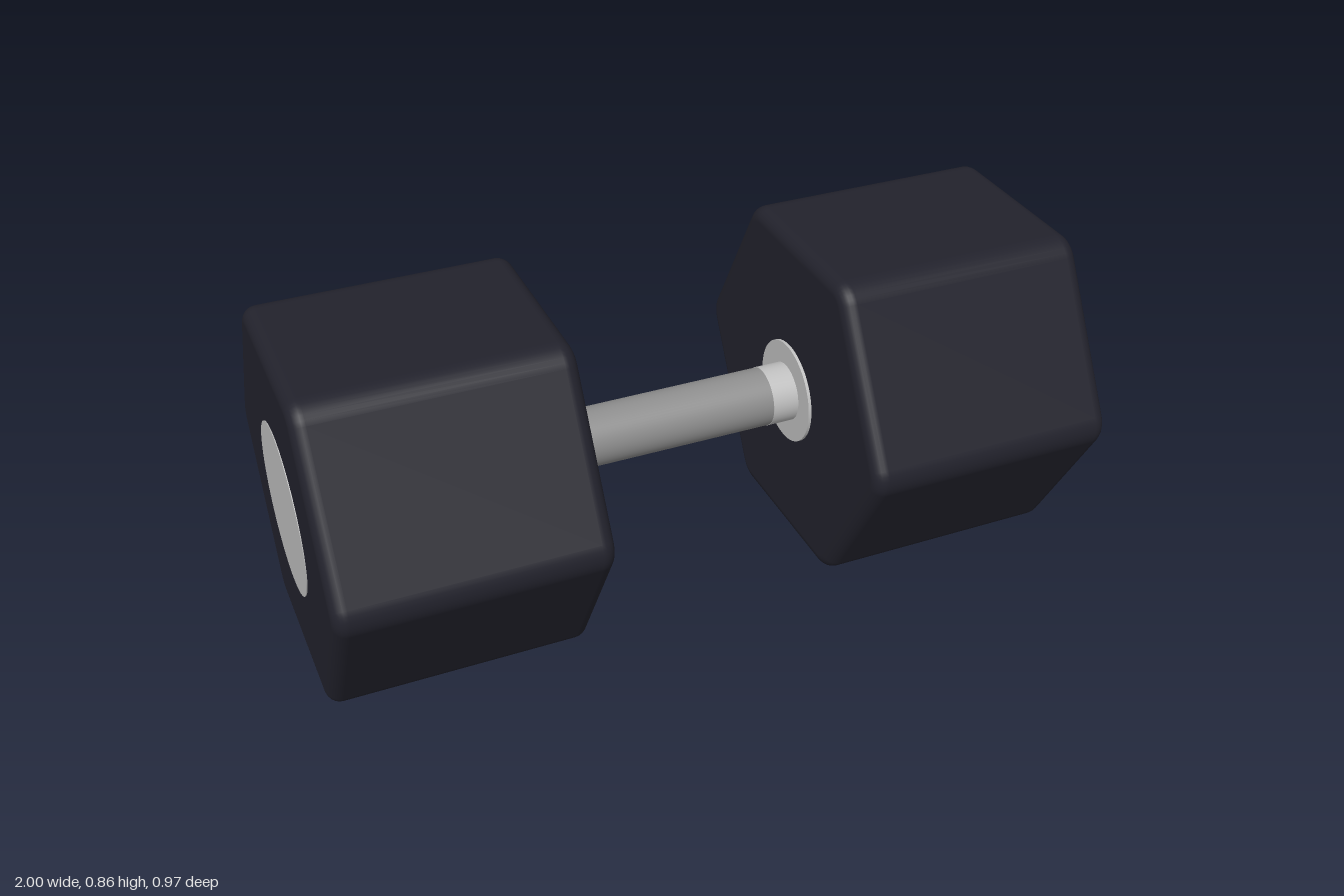
import * as THREE from 'three';

const CENTRE_Y = 0.43;
const APOTHEM = 0.43;
const CORNER_RADIUS = 0.075;
const BEVEL = 0.036;

// Rounded hexagon outline: each point has a position and an outward normal
function hexOutline(steps = 6) {
  const points = [];
  const reach = (APOTHEM - CORNER_RADIUS) / Math.cos(Math.PI / 6);
  for (let i = 0; i < 6; i++) {
    const corner = (i * Math.PI) / 3;
    for (let j = 0; j <= steps; j++) {
      const a = corner + (j / steps - 0.5) * (Math.PI / 3);
      const ny = Math.sin(a), nz = Math.cos(a);
      points.push({
        y: Math.sin(corner) * reach + ny * CORNER_RADIUS,
        z: Math.cos(corner) * reach + nz * CORNER_RADIUS,
        ny, nz,
      });
    }
  }
  return points;
}

// Hexagonal prism along x with softly rounded rims
function hexHeadGeometry(length, steps = 6) {
  const outline = hexOutline();
  const count = outline.length;
  const half = length / 2;
  const rings = [];
  for (const side of [-1, 1]) {
    for (let k = 0; k <= steps; k++) {
      const t = ((side < 0 ? steps - k : k) / steps) * (Math.PI / 2);
      rings.push({
        x: side * (half - BEVEL + BEVEL * Math.sin(t)),
        inset: BEVEL * (1 - Math.cos(t)),
        nx: side * Math.sin(t),
        radial: Math.cos(t),
      });
    }
  }
  const position = [], normal = [], index = [];
  for (const r of rings) {
    for (const p of outline) {
      position.push(r.x, p.y - p.ny * r.inset, p.z - p.nz * r.inset);
      normal.push(r.nx, p.ny * r.radial, p.nz * r.radial);
    }
  }
  for (let r = 0; r < rings.length - 1; r++) {
    for (let i = 0; i < count; i++) {
      const a = r * count + i, b = r * count + ((i + 1) % count);
      index.push(a, a + count, b, b, a + count, b + count);
    }
  }
  // Flat end faces
  const last = (rings.length - 1) * count;
  const left = position.length / 3;
  position.push(-half, 0, 0, half, 0, 0);
  normal.push(-1, 0, 0, 1, 0, 0);
  for (let i = 0; i < count; i++) {
    const next = (i + 1) % count;
    index.push(left, i, next, left + 1, last + next, last + i);
  }
  const geometry = new THREE.BufferGeometry();
  geometry.setAttribute('position', new THREE.Float32BufferAttribute(position, 3));
  geometry.setAttribute('normal', new THREE.Float32BufferAttribute(normal, 3));
  // Outline runs from +z towards +y, so reverse the faces to look outward
  for (let i = 0; i < index.length; i += 3) {
    const ax = new THREE.Vector3().fromArray(position, index[i] * 3);
    const bx = new THREE.Vector3().fromArray(position, index[i + 1] * 3).sub(ax);
    const cx = new THREE.Vector3().fromArray(position, index[i + 2] * 3).sub(ax);
    const n = new THREE.Vector3().fromArray(normal, index[i] * 3);
    if (bx.cross(cx).dot(n) < 0) [index[i + 1], index[i + 2]] = [index[i + 2], index[i + 1]];
  }
  geometry.setIndex(index);
  return geometry;
}

export function createModel() {
  const model = new THREE.Group();
  model.name = 'dumbbell';

  const rubber = new THREE.MeshStandardMaterial({ color: 0x22222c });
  rubber.name = 'dark rubber';
  const steel = new THREE.MeshStandardMaterial({ color: 0xc0c0c0 });
  steel.name = 'light steel';
  const gripSteel = new THREE.MeshStandardMaterial({ color: 0x8e8e8e });
  gripSteel.name = 'grip steel';

  function add(name, geometry, material, x = 0) {
    const mesh = new THREE.Mesh(geometry, material);
    mesh.name = name;
    mesh.position.set(x, CENTRE_Y, 0);
    model.add(mesh);
  }

  // Cylinder lying along x between two positions
  function rod(name, radius, x0, x1, material) {
    const geometry = new THREE.CylinderGeometry(radius, radius, Math.abs(x1 - x0), 64);
    geometry.rotateZ(Math.PI / 2);
    add(name, geometry, material, (x0 + x1) / 2);
  }

  rod('grip', 0.077, -0.258, 0.258, gripSteel);

  const head = hexHeadGeometry(0.664);
  for (const [side, s] of [['left', 1], ['right', -1]]) {
    add(`${side}Head`, head, rubber, s * 0.666);
    rod(`${side}EndCap`, 0.215, s * 0.994, s * 1, steel);
    rod(`${side}Washer`, 0.137, s * 0.326, s * 0.338, steel);
    rod(`${side}Collar`, 0.078, s * 0.257, s * 0.336, steel);
  }
  return model;
}
